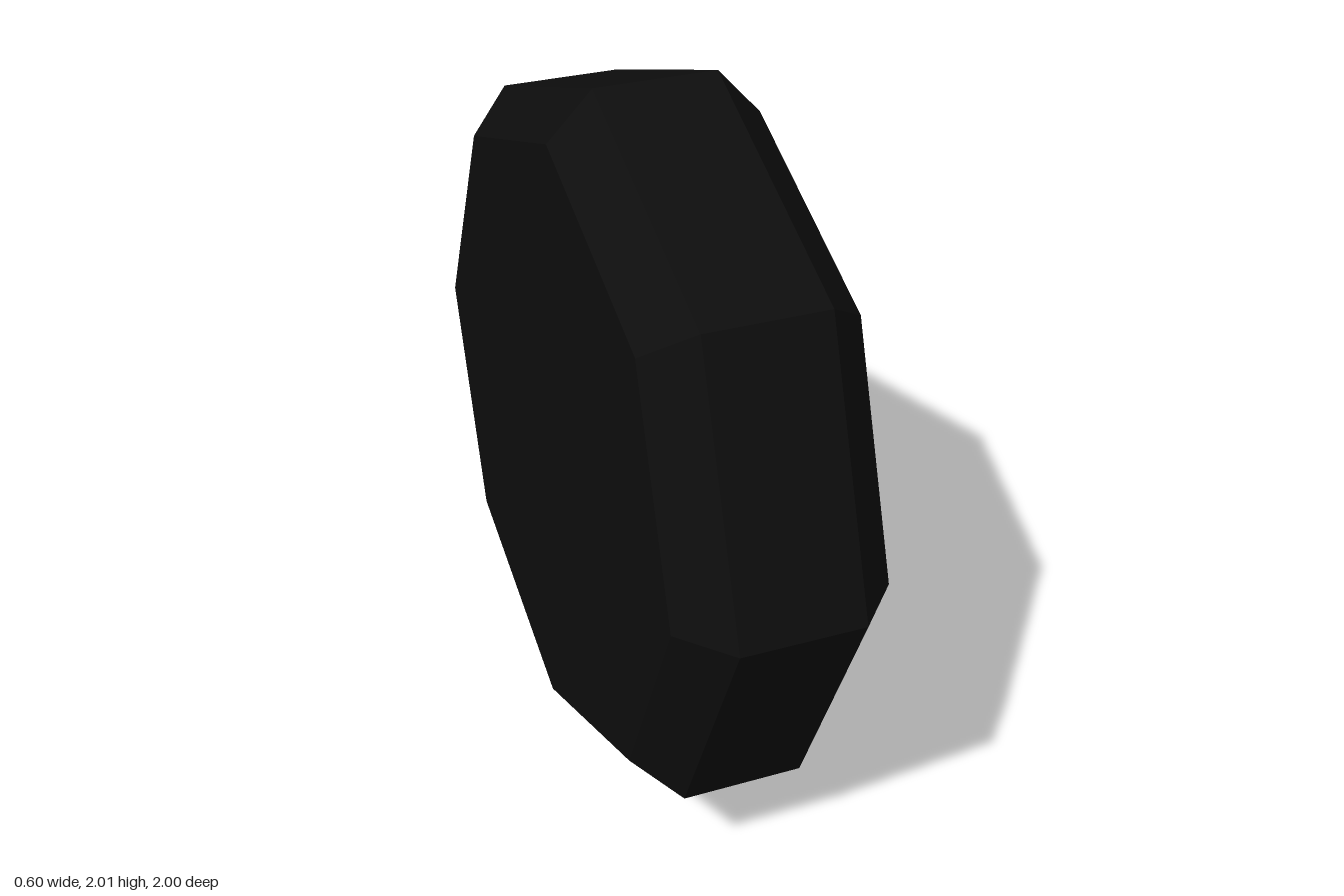
import * as THREE from 'three';

const SIDES = 8;

function material(name, color) {
  const m = new THREE.MeshStandardMaterial({ color });
  m.name = name;
  return m;
}

// Faceted ring turned about the x axis; profile points are [radius, x], from back to front
function ring(name, mat, profile) {
  const lathe = new THREE.LatheGeometry(profile.map(([r, x]) => new THREE.Vector2(r, x)), SIDES);
  lathe.rotateZ(-Math.PI / 2);
  const geometry = lathe.toNonIndexed();
  geometry.computeVertexNormals();
  const mesh = new THREE.Mesh(geometry, mat);
  mesh.name = name;
  return mesh;
}

export function createModel() {
  const rubber = material('black rubber', 0x0d0d0d);
  const pink = material('pink stripe', 0xd670c9);
  const metal = material('light metal', 0xd6d6d6);
  const dark = material('dark hub', 0x383838);

  const wheel = new THREE.Group();
  wheel.name = 'wheel';
  wheel.add(
    // Closed flat back, chamfered tread, sidewall and inner bevel
    ring('tyre', rubber, [
      [0, -0.285], [0.87, -0.285], [1, -0.165], [1, 0.165],
      [0.87, 0.285], [0.75, 0.285], [0.66, 0.22],
    ]),
    // Flat painted band between tyre and rim
    ring('stripe', pink, [[0.66, 0.22], [0.57, 0.22]]),
    // Raised lip sloping into the dish
    ring('rim', metal, [[0.57, 0.22], [0.53, 0.275], [0.36, 0.19]]),
    ring('hub', dark, [[0.36, 0.19], [0, 0.19]]),
  );

  // Slight camber
  wheel.rotation.z = -0.0172;
  wheel.position.y = 1;

  const model = new THREE.Group();
  model.name = 'wheelModel';
  model.add(wheel);
  return model;
}
